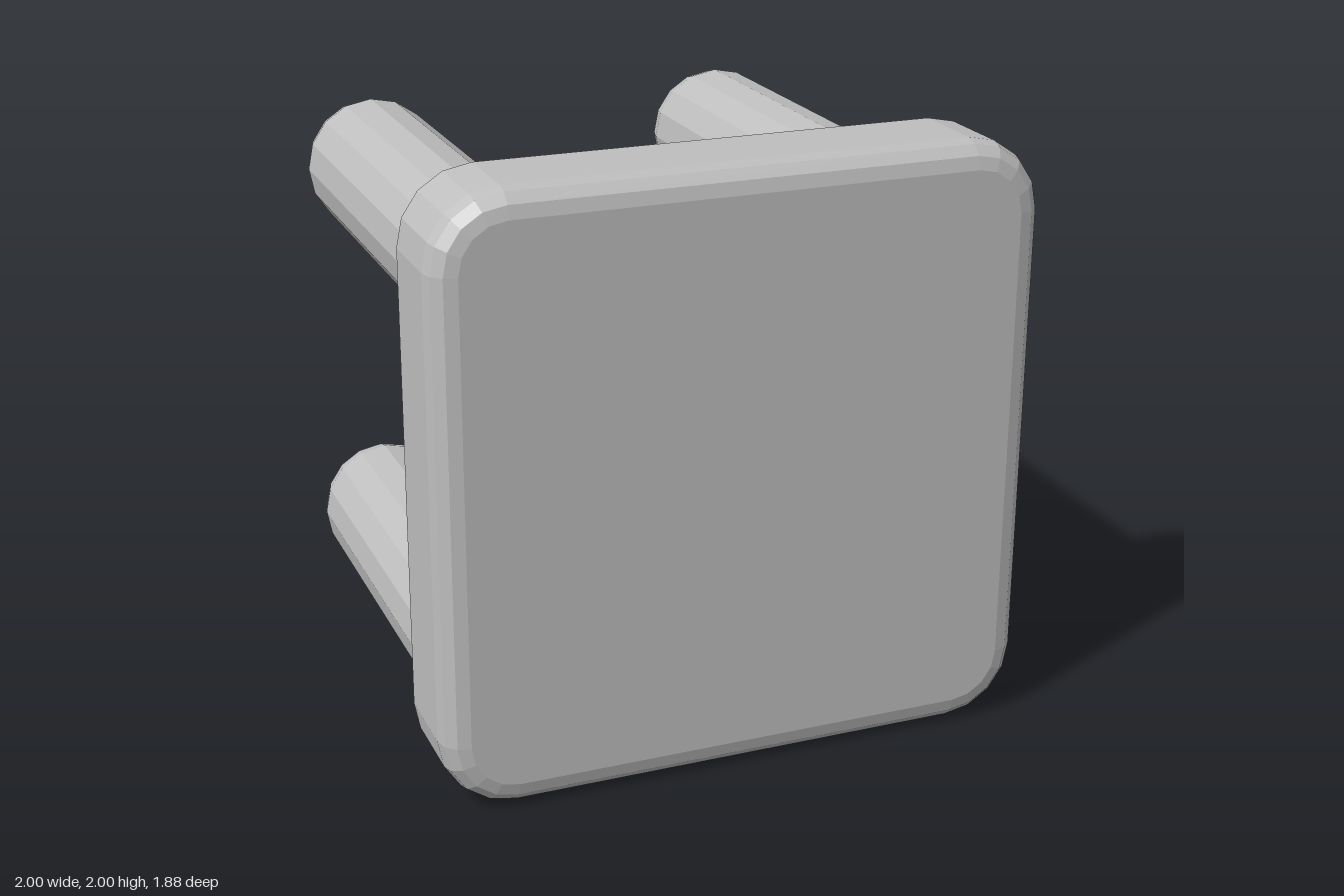
import * as THREE from 'three';

const grey = new THREE.MeshStandardMaterial({ color: 0xbebebe });
grey.name = 'plainGrey';

// Separate faces so that every facet is flat
function faceted(geometry) {
  const flat = geometry.index ? geometry.toNonIndexed() : geometry;
  flat.computeVertexNormals();
  return flat;
}

// Rounded square outline, anticlockwise seen from +z, moved in by inset
function outline(inset, z) {
  const half = 1, radius = 0.24, steps = 4, points = [];
  for (let corner = 0; corner < 4; corner++) {
    const mid = (corner + 0.5) * Math.PI / 2;
    const cx = Math.sign(Math.cos(mid)) * (half - radius);
    const cy = Math.sign(Math.sin(mid)) * (half - radius);
    for (let i = 0; i <= steps; i++) {
      const a = (corner + i / steps) * Math.PI / 2;
      points.push([cx + (radius - inset) * Math.cos(a), cy + (radius - inset) * Math.sin(a), z]);
    }
  }
  return points;
}

// Square slab with a sharp back rim and a rounded front rim
function plateGeometry() {
  const back = 0.59, front = 0.94, bevel = 0.085, steps = 3;
  const rings = [outline(0, back)];
  for (let i = 0; i <= steps; i++) {
    const a = i / steps * Math.PI / 2;
    rings.push(outline(bevel * (1 - Math.cos(a)), front - bevel * (1 - Math.sin(a))));
  }
  const positions = [];
  const triangle = (a, b, c) => positions.push(...a, ...b, ...c);
  const n = rings[0].length, last = rings[rings.length - 1];
  for (let i = 0; i < n; i++) {
    const j = (i + 1) % n;
    for (let k = 0; k < rings.length - 1; k++) {
      const lower = rings[k], upper = rings[k + 1];
      triangle(lower[i], lower[j], upper[j]);
      triangle(lower[i], upper[j], upper[i]);
    }
    triangle([0, 0, front], last[i], last[j]);
    triangle([0, 0, back], rings[0][j], rings[0][i]);
  }
  const geometry = new THREE.BufferGeometry();
  geometry.setAttribute('position', new THREE.Float32BufferAttribute(positions, 3));
  return faceted(geometry);
}

// Sixteen-sided peg pointing to -z with a rounded tip
function pegGeometry() {
  const profile = [[0.235, -0.59], [0.235, 0.845], [0.217, 0.91], [0.165, 0.94], [0, 0.94]]
    .map(([r, y]) => new THREE.Vector2(r, y));
  const geometry = new THREE.LatheGeometry(profile, 16);
  geometry.rotateX(-Math.PI / 2);
  return faceted(geometry);
}

export function createModel() {
  const model = new THREE.Group();
  model.name = 'peggedPlate';

  const plate = new THREE.Mesh(plateGeometry(), grey);
  plate.name = 'plate';
  plate.position.y = 1;
  model.add(plate);

  // Four pegs on the back of the plate
  const peg = pegGeometry();
  for (const [side, x] of [['Right', -0.695], ['Left', 0.63]]) {
    for (const [level, y] of [['lower', 0.31], ['upper', 1.635]]) {
      const mesh = new THREE.Mesh(peg, grey);
      mesh.name = `${level}${side}Peg`;
      mesh.position.set(x, y, 0);
      model.add(mesh);
    }
  }
  return model;
}
